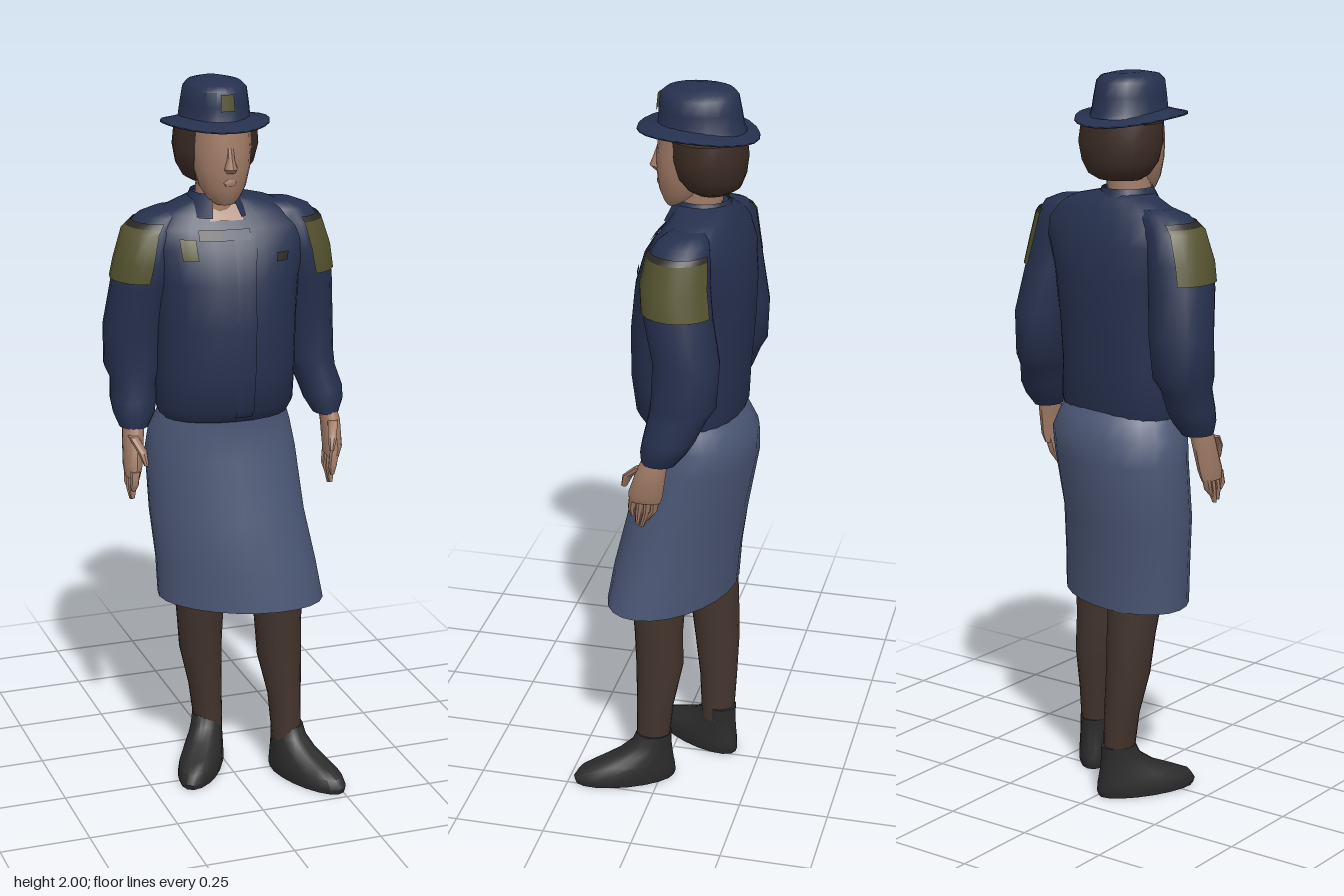
import * as THREE from 'three';
import { toCreasedNormals } from 'three/addons/utils/BufferGeometryUtils.js';

const mat = (name, color, side = THREE.FrontSide) => {
  const m = new THREE.MeshStandardMaterial({ color, side });
  m.name = name;
  return m;
};

// A ring is [y, centreX, centreZ, radiusX, radiusZ, skew, roundness];
// skew shears z along x, roundness below 1 makes the ring boxier.
function ringPoint(r, a, grow) {
  const bend = v => Math.sign(v) * Math.abs(v) ** (r[6] || 1);
  const x = (r[3] + grow) * bend(Math.cos(a));
  return [r[1] + x, r[0], r[2] + (r[4] + grow) * bend(Math.sin(a)) + (r[5] || 0) * x];
}

// Skin over horizontal rings, full loop or arc (angle 0 is +x, PI/2 is the front).
function loft(rings, { n = 18, from = 0, to = Math.PI * 2, grow = 0, caps = true, crease = 0.75 } = {}) {
  const rs = [...rings].sort((a, b) => a[0] - b[0]);
  const full = to - from > 6.28, cols = full ? n : n + 1;
  const pos = [], idx = [];
  for (const r of rs)
    for (let j = 0; j < cols; j++) pos.push(...ringPoint(r, from + (to - from) * j / n, grow));
  for (let i = 0; i < rs.length - 1; i++)
    for (let j = 0; j < n; j++) {
      const a = i * cols + j, b = i * cols + (j + 1) % cols;
      idx.push(a, a + cols, b, b, a + cols, b + cols);
    }
  if (full && caps) {
    const c = pos.length / 3, top = (rs.length - 1) * cols;
    for (const r of [rs[0], rs[rs.length - 1]]) pos.push(r[1], r[0], r[2]);
    for (let j = 0; j < n; j++) {
      const k = (j + 1) % n;
      idx.push(c, j, k, c + 1, top + k, top + j);
    }
  }
  const g = new THREE.BufferGeometry();
  g.setAttribute('position', new THREE.Float32BufferAttribute(pos, 3));
  g.setIndex(idx);
  return toCreasedNormals(g, crease);
}

// Ring of a lofted body at any height
function ringAt(rings, y) {
  const rs = [...rings].sort((a, b) => a[0] - b[0]);
  let i = 0;
  while (i < rs.length - 2 && rs[i + 1][0] < y) i++;
  const t = (y - rs[i][0]) / (rs[i + 1][0] - rs[i][0]);
  return [0, 1, 2, 3, 4, 5, 6].map(k => (rs[i][k] || 0) * (1 - t) + (rs[i + 1][k] || 0) * t);
}

// Thin plate hugging a lofted body between two heights and two angles
function plate(rings, y0, y1, from, to, grow = 0.005, n = 6) {
  const ys = [y0, ...rings.map(r => r[0]).filter(y => y > y0 + 0.002 && y < y1 - 0.002), y1];
  return loft(ys.map(y => ringAt(rings, y)), { n, from, to, grow });
}

export function createModel() {
  const D = THREE.DoubleSide, H = Math.PI / 2;
  const navy = mat('navy cloth', 0x26314e, D), blue = mat('skirt blue', 0x4a5674, D);
  const skin = mat('skin', 0xa27c67), hairMat = mat('hair brown', 0x3c2c24);
  const stocking = mat('stocking brown', 0x43342d), black = mat('shoe black', 0x2b2b2b);
  const olive = mat('olive patch', 0x55532f, D), dark = mat('dark trim', 0x2b2924, D);
  const model = new THREE.Group();
  const add = (name, geo, m, parent = model) => {
    const mesh = new THREE.Mesh(geo, m);
    mesh.name = name;
    parent.add(mesh);
    return mesh;
  };

  // Jacket body
  const torso = [
    [1.085, -0.013, -0.06, 0.176, 0.126, 0.05], [1.12, -0.013, -0.052, 0.188, 0.145, 0.05],
    [1.22, -0.012, -0.048, 0.188, 0.152, 0.08], [1.35, -0.01, -0.053, 0.19, 0.158, 0.08],
    [1.47, -0.008, -0.062, 0.2, 0.153, 0.08], [1.56, -0.003, -0.072, 0.225, 0.135, 0.08],
    [1.61, 0.0, -0.077, 0.23, 0.11, 0.08], [1.645, 0.0, -0.082, 0.19, 0.09, 0.07],
    [1.672, -0.005, -0.082, 0.125, 0.075, 0.03], [1.69, -0.025, -0.075, 0.065, 0.065, 0],
  ].map(r => [...r, 0.88]);
  add('jacket', loft(torso, { n: 24 }), navy);
  add('jacketPlacket', plate(torso, 1.1, 1.6, H - 0.16, H + 0.04, 0.003, 4), navy);
  add('chestBadge', plate(torso, 1.535, 1.59, H + 0.46, H + 0.68), olive);
  add('nameTag', plate(torso, 1.525, 1.548, H - 0.6, H - 0.42), dark);
  add('openThroat', plate(torso, 1.632, 1.672, H - 0.08, H + 0.3, 0.004), skin);
  for (const s of [-1, 1]) {
    const c = H + 0.16;
    add('neckTie', plate(torso, 1.585, 1.612, c + Math.min(0, s * 0.26), c + Math.max(0, s * 0.26), 0.007, 3), s < 0 ? navy : dark);
  }
  // Folded collar, open at the front
  const collar = [[1.64, -0.025, -0.065, 0.1, 0.095], [1.685, -0.03, -0.07, 0.073, 0.078], [1.7, -0.03, -0.073, 0.066, 0.07]];
  add('collar', loft(collar, { from: H + 0.42, to: H + 5.88, n: 16 }), navy);

  // Sleeves, shoulder patches and hands
  const arms = {
    left: {
      rings: [
        [1.662, 0.14, -0.07, 0.05, 0.045], [1.645, 0.165, -0.065, 0.068, 0.068], [1.61, 0.182, -0.058, 0.08, 0.082],
        [1.54, 0.197, -0.054, 0.086, 0.09], [1.45, 0.217, -0.065, 0.082, 0.092], [1.34, 0.236, -0.09, 0.076, 0.09],
        [1.22, 0.241, -0.084, 0.073, 0.088], [1.185, 0.252, -0.07, 0.062, 0.078], [1.13, 0.27, -0.052, 0.06, 0.07],
        [1.095, 0.274, -0.038, 0.054, 0.062], [1.06, 0.276, -0.025, 0.036, 0.046],
      ],
      hand: [[1.08, 0.278, -0.02, 0.026, 0.034], [1.04, 0.284, -0.008, 0.026, 0.04], [0.97, 0.285, 0.008, 0.024, 0.047], [0.945, 0.281, 0.011, 0.018, 0.043]],
      tip: [0.272, 0.028], from: -1.2, to: 1.45,
    },
    right: {
      rings: [
        [1.655, -0.14, -0.1, 0.05, 0.045], [1.638, -0.17, -0.1, 0.065, 0.068], [1.6, -0.195, -0.098, 0.08, 0.085],
        [1.52, -0.213, -0.095, 0.086, 0.096], [1.45, -0.228, -0.102, 0.084, 0.096], [1.33, -0.243, -0.125, 0.086, 0.088],
        [1.22, -0.249, -0.122, 0.08, 0.086], [1.185, -0.252, -0.112, 0.063, 0.076], [1.13, -0.257, -0.098, 0.063, 0.068],
        [1.095, -0.259, -0.086, 0.057, 0.062], [1.06, -0.263, -0.075, 0.04, 0.047],
      ],
      hand: [[1.08, -0.265, -0.07, 0.03, 0.034], [1.04, -0.27, -0.06, 0.029, 0.04], [0.96, -0.278, -0.04, 0.025, 0.045], [0.93, -0.281, -0.034, 0.019, 0.041]],
      tip: [-0.286, -0.022], from: Math.PI - 1.45, to: Math.PI + 1.0,
    },
  };
  for (const [side, a] of Object.entries(arms)) {
    const g = new THREE.Group();
    g.name = side + 'Arm';
    model.add(g);
    add('sleeve', loft(a.rings, { n: 16 }), navy, g);
    add('shoulderPatch', plate(a.rings, 1.47, 1.612, a.from, a.to, 0.006, 8), olive, g);
    add('patchTrim', plate(a.rings, 1.612, 1.626, a.from, a.to, 0.006, 8), dark, g);
    add('palm', loft(a.hand, { n: 12 }), skin, g);
    const palm = a.hand[3];
    for (let i = 0; i < 4; i++) {
      const z = (i - 1.5) * 0.02, low = [0.885, 0.865, 0.87, 0.895][i];
      add('finger', loft([
        [palm[0] + 0.02, palm[1], palm[2] + z, 0.014, 0.012], [(palm[0] + low) / 2, a.tip[0], (palm[2] + a.tip[1]) / 2 + z, 0.012, 0.01],
        [low, a.tip[0], a.tip[1] + z * 0.6, 0.006, 0.006],
      ], { n: 8 }), skin, g);
    }
    const inward = side === 'left' ? -1 : 1;
    add('thumb', loft([
      [1.045, palm[1], palm[2] + 0.01, 0.014, 0.018], [1.01, palm[1] + inward * 0.015, palm[2] + 0.05, 0.013, 0.014],
      [0.975, palm[1] + inward * 0.022, palm[2] + 0.062, 0.007, 0.008],
    ], { n: 8 }), skin, g);
  }

  // Skirt, open at the hem
  add('skirt', loft([
    [1.13, -0.012, -0.06, 0.165, 0.12], [1.09, -0.012, -0.075, 0.181, 0.132], [1.04, -0.014, -0.085, 0.2, 0.146],
    [0.97, -0.014, -0.079, 0.208, 0.15, 0.08], [0.8, -0.008, -0.042, 0.21, 0.154, 0.16], [0.66, 0.01, -0.018, 0.214, 0.155, 0.22],
    [0.552, 0.02, -0.006, 0.219, 0.156, 0.26],
  ], { n: 24, caps: false }), blue);

  // Stockinged legs
  add('leftLeg', loft([
    [0.75, 0.1, 0.0, 0.08, 0.085], [0.55, 0.122, 0.014, 0.073, 0.075], [0.47, 0.126, 0.012, 0.066, 0.068],
    [0.36, 0.132, 0.008, 0.062, 0.066], [0.24, 0.145, 0.018, 0.047, 0.052], [0.11, 0.15, 0.025, 0.041, 0.046],
  ]), stocking);
  add('rightLeg', loft([
    [0.75, -0.08, -0.075, 0.08, 0.085], [0.55, -0.07, -0.095, 0.072, 0.075], [0.47, -0.066, -0.105, 0.066, 0.069],
    [0.36, -0.062, -0.114, 0.06, 0.063], [0.24, -0.046, -0.122, 0.047, 0.053], [0.11, -0.036, -0.123, 0.04, 0.046],
  ]), stocking);

  // Shoes, modelled pointing forward and then turned out
  const shoe = [
    [0, 0, 0.085, 0.056, 0.142], [0.015, 0, 0.085, 0.06, 0.147], [0.04, 0, 0.078, 0.058, 0.138], [0.06, 0, 0.057, 0.054, 0.113],
    [0.085, 0, 0.028, 0.048, 0.08], [0.115, 0, 0.008, 0.044, 0.057], [0.145, 0, 0, 0.043, 0.05],
  ];
  for (const [name, x, z, turn] of [['leftShoe', 0.152, 0.02, 0.41], ['rightShoe', -0.038, -0.128, -0.53]]) {
    const m = add(name, loft(shoe), black);
    m.position.set(x, 0.005, z);
    m.rotation.y = turn;
  }

  // Neck, face and hair
  add('neck', loft([[1.61, -0.03, -0.06, 0.06, 0.064], [1.67, -0.03, -0.06, 0.056, 0.064], [1.76, -0.025, -0.065, 0.055, 0.065]]), skin);
  add('face', loft([
    [1.675, -0.025, -0.005, 0.026, 0.028], [1.69, -0.025, -0.012, 0.044, 0.044], [1.72, -0.025, -0.022, 0.062, 0.066],
    [1.77, -0.025, -0.03, 0.076, 0.08], [1.82, -0.025, -0.035, 0.081, 0.085], [1.885, -0.025, -0.045, 0.08, 0.088],
  ]), skin);
  add('nose', loft([[1.765, -0.025, 0.04, 0.014, 0.014], [1.778, -0.025, 0.05, 0.018, 0.021], [1.8, -0.025, 0.047, 0.012, 0.015], [1.835, -0.025, 0.04, 0.009, 0.01]], { n: 8 }), skin);
  add('lips', loft([[1.73, -0.025, 0.037, 0.016, 0.012], [1.739, -0.025, 0.038, 0.022, 0.013], [1.748, -0.025, 0.037, 0.016, 0.012]], { n: 8 }), skin);
  add('hair', loft([
    [1.722, -0.024, -0.1, 0.06, 0.05], [1.737, -0.024, -0.1, 0.085, 0.075], [1.77, -0.023, -0.093, 0.106, 0.095],
    [1.82, -0.022, -0.09, 0.117, 0.104], [1.872, -0.023, -0.085, 0.112, 0.103],
  ]), hairMat);

  // Hat: crown, sloping brim and badge
  const crown = [
    [1.886, -0.033, -0.065, 0.1, 0.122], [1.9, -0.033, -0.065, 0.094, 0.115], [1.94, -0.033, -0.063, 0.089, 0.11],
    [1.978, -0.033, -0.061, 0.083, 0.104], [1.992, -0.033, -0.063, 0.07, 0.09], [2.0, -0.033, -0.07, 0.035, 0.05],
  ];
  add('hatCrown', loft(crown, { n: 20 }), navy);
  add('hatBadge', plate(crown, 1.93, 1.974, H - 0.2, H + 0.2), olive);
  const brim = new THREE.LatheGeometry([[0.6, 0.008], [0.8, 0.004], [1, 0], [0.99, 0.006], [0.82, 0.014], [0.6, 0.026]].map(p => new THREE.Vector2(...p)), 24);
  const p = brim.attributes.position;
  for (let i = 0; i < p.count; i++) {
    const x = p.getX(i), z = p.getZ(i);
    p.setXYZ(i, x * 0.144 - 0.033, p.getY(i) + 1.874 + 0.014 * x * x + 0.008 * z, z * 0.162 - 0.058);
  }
  brim.computeVertexNormals();
  add('hatBrim', brim, navy);
  return model;
}
